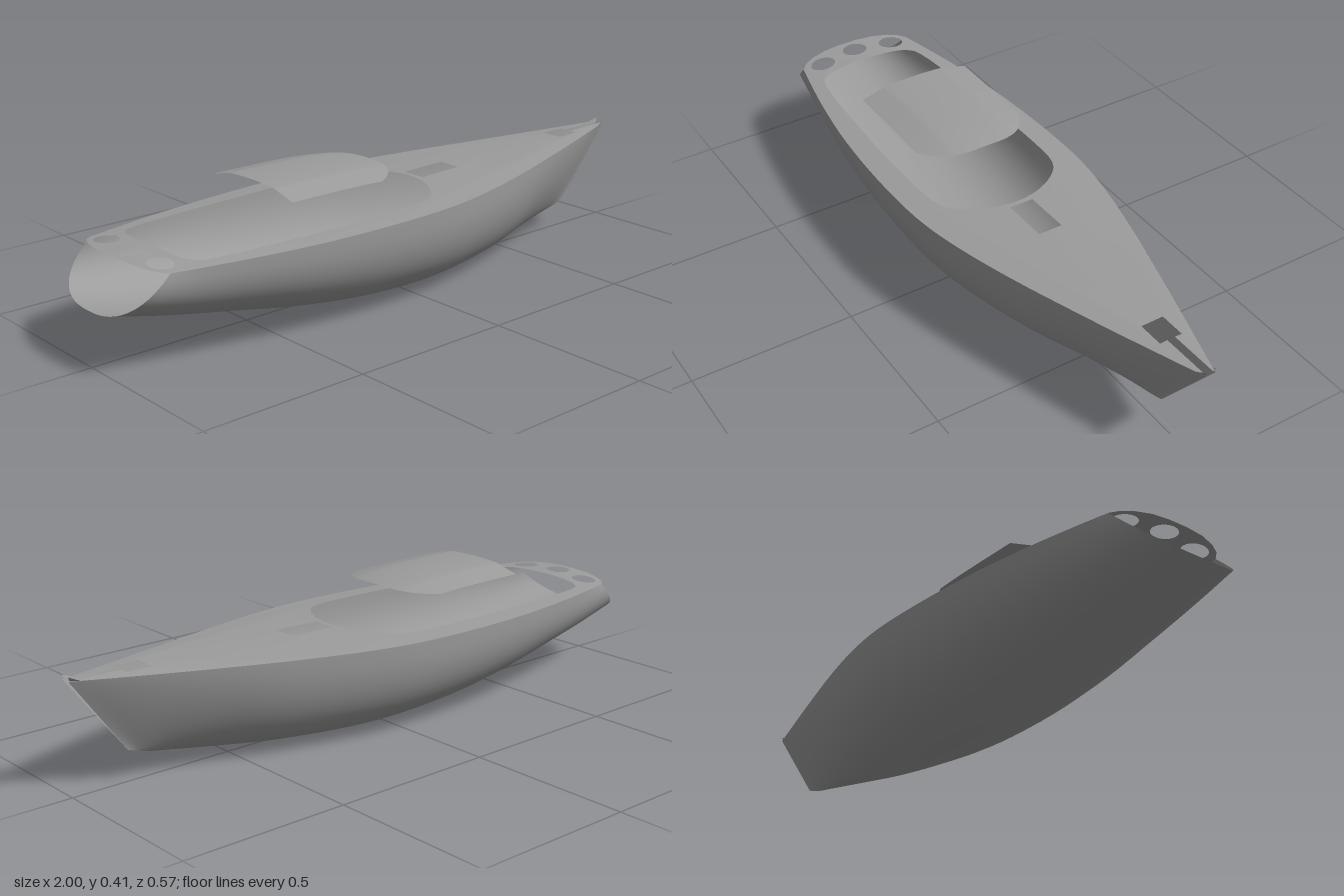
import * as THREE from 'three';

const grey = new THREE.MeshStandardMaterial({ color: 0x9c9c9c, side: THREE.DoubleSide });
grey.name = 'hull grey';

const V = (x, y, z) => new THREE.Vector3(x, y, z);
const sheerY = (x) => 0.283 + 0.016 * Math.max(0, x + 0.6) ** 2;

// Stations, stern to bow: keel x, keel y, section fullness, sheer x, half width
const stations = [
  [-1.0, 0.16, 2.5, -0.87, 0.193],
  [-0.82, 0.118, 2.45, -0.77, 0.215],
  [-0.62, 0.08, 2.4, -0.61, 0.245],
  [-0.42, 0.042, 2.4, -0.42, 0.27],
  [-0.2, 0.013, 2.4, -0.2, 0.283],
  [0.02, 0.002, 2.4, 0.02, 0.28],
  [0.2, 0.003, 2.3, 0.2, 0.253],
  [0.4, 0.015, 2.1, 0.4, 0.203],
  [0.56, 0.035, 1.8, 0.6, 0.143],
  [0.68, 0.055, 1.6, 0.75, 0.096],
  [0.77, 0.072, 1.35, 0.88, 0.054],
  [0.825, 0.09, 1.0, 1.0, 0.015],
];
const spline = (points) => new THREE.CatmullRomCurve3(points, false, 'catmullrom', 0.5);
const keel = spline(stations.map(([x, y, n]) => V(x, y, n)));
const sheer = spline(stations.map(([, , , x, w]) => V(x, sheerY(x), w)));
const rail = sheer.getPoints(44);

function halfWidth(x) {
  const i = rail.findIndex((p) => p.x >= x);
  if (i <= 0) return rail[0].z;
  const a = rail[i - 1], b = rail[i];
  return a.z + ((b.z - a.z) * (x - a.x)) / (b.x - a.x);
}

// Grid surface: at(u, v) gives the point, u and v from 0 to 1
function loft(rows, cols, at) {
  const pos = [], index = [];
  for (let i = 0; i <= rows; i++)
    for (let j = 0; j <= cols; j++) pos.push(...at(i / rows, j / cols).toArray());
  for (let i = 0; i < rows; i++)
    for (let j = 0; j < cols; j++) {
      const a = i * (cols + 1) + j, b = a + cols + 1;
      index.push(a, a + 1, b, b, a + 1, b + 1);
    }
  const g = new THREE.BufferGeometry();
  g.setAttribute('position', new THREE.Float32BufferAttribute(pos, 3));
  g.setIndex(index);
  g.computeVertexNormals();
  return g;
}

// One side of the hull shell, open at the stern and at the stem slot
function hullSide(side) {
  return loft(44, 16, (u, v) => {
    const k = keel.getPoint(u), s = sheer.getPoint(u);
    const t = ((side > 0 ? v : 1 - v) * Math.PI) / 2, e = 2 / k.z;
    const h = v === (side > 0 ? 1 : 0) ? 1 : 1 - Math.cos(t) ** e;
    return V(k.x + (s.x - k.x) * h, k.y + (s.y - k.y) * h, side * s.z * Math.sin(t) ** e);
  });
}

// Closed outline mirrored about the centreline, from points on one side
const mirrored = (pts) => [...pts, ...pts.slice().reverse().map(([x, z]) => [x, -z])]
  .map(([x, z]) => new THREE.Vector2(x, z));

function ellipse(x, z, rx, rz) {
  return new THREE.Path().absellipse(x, z, rx, rz, 0, Math.PI * 2, true);
}

function deckGeometry() {
  // Rounded aft edge, rail, then back along the stem slot and the bow locker
  const shape = new THREE.Shape(mirrored([
    [-0.927, 0.03], [-0.923, 0.09], [-0.91, 0.14], [-0.893, 0.173],
    ...rail.map((p) => [p.x, p.z]),
    [0.995, 0.012], [0.84, 0.012], [0.84, 0.035], [0.76, 0.035],
  ]));
  // Cockpit opening
  const rim = new THREE.SplineCurve([
    [-0.805, 0.02], [-0.8, 0.1], [-0.785, 0.15], [-0.74, 0.178], [-0.55, 0.196], [-0.3, 0.208],
    [-0.1, 0.209], [0.01, 0.197], [0.07, 0.15], [0.11, 0.08], [0.124, 0.02],
  ].map(([x, z]) => new THREE.Vector2(x, z)));
  shape.holes.push(new THREE.Path(mirrored(rim.getPoints(30).map((p) => [p.x, p.y]))));
  // Foredeck hatch
  shape.holes.push(new THREE.Path(mirrored([[0.14, 0.038], [0.29, 0.038]])));
  // Three round openings in the aft deck
  shape.holes.push(ellipse(-0.875, 0, 0.034, 0.041));
  for (const s of [-1, 1]) shape.holes.push(ellipse(-0.858, s * 0.127, 0.034, 0.041));

  // Lay the plate flat, follow the sheer and add camber
  const g = new THREE.ShapeGeometry(shape, 12);
  const p = g.attributes.position;
  for (let i = 0; i < p.count; i++) {
    const x = p.getX(i), z = -p.getY(i);
    const c = Math.max(0, 1 - (z / halfWidth(x)) ** 2);
    p.setXYZ(i, x, sheerY(x) + 0.012 * c * Math.min(1, halfWidth(x) / 0.15), z);
  }
  g.computeVertexNormals();
  return g;
}

// Thin canopy: flat middle, sloping sides, rounded and drooping front
function canopyGeometry() {
  return loft(14, 36, (u, v) => {
    const a = 2 * v - 1, z = 0.183 * a;
    const front = -0.05 - 0.1 * Math.abs(a) ** 3.5;
    const slope = Math.max(0, (Math.abs(z) - 0.1) / 0.083);
    const y = 0.409 - 0.004 * Math.min(1, (z / 0.1) ** 2) - 0.021 * slope;
    return V(-0.47 + (front + 0.47) * u, y - 0.016 * u ** 4 * (1 - 0.7 * slope), z);
  });
}

export function createModel() {
  const model = new THREE.Group();
  model.name = 'sailboat';
  const add = (name, geometry) => {
    const mesh = new THREE.Mesh(geometry, grey);
    mesh.name = name;
    model.add(mesh);
  };
  add('hullLeft', hullSide(1));
  add('hullRight', hullSide(-1));
  add('deck', deckGeometry());
  add('canopy', canopyGeometry());
  return model;
}
